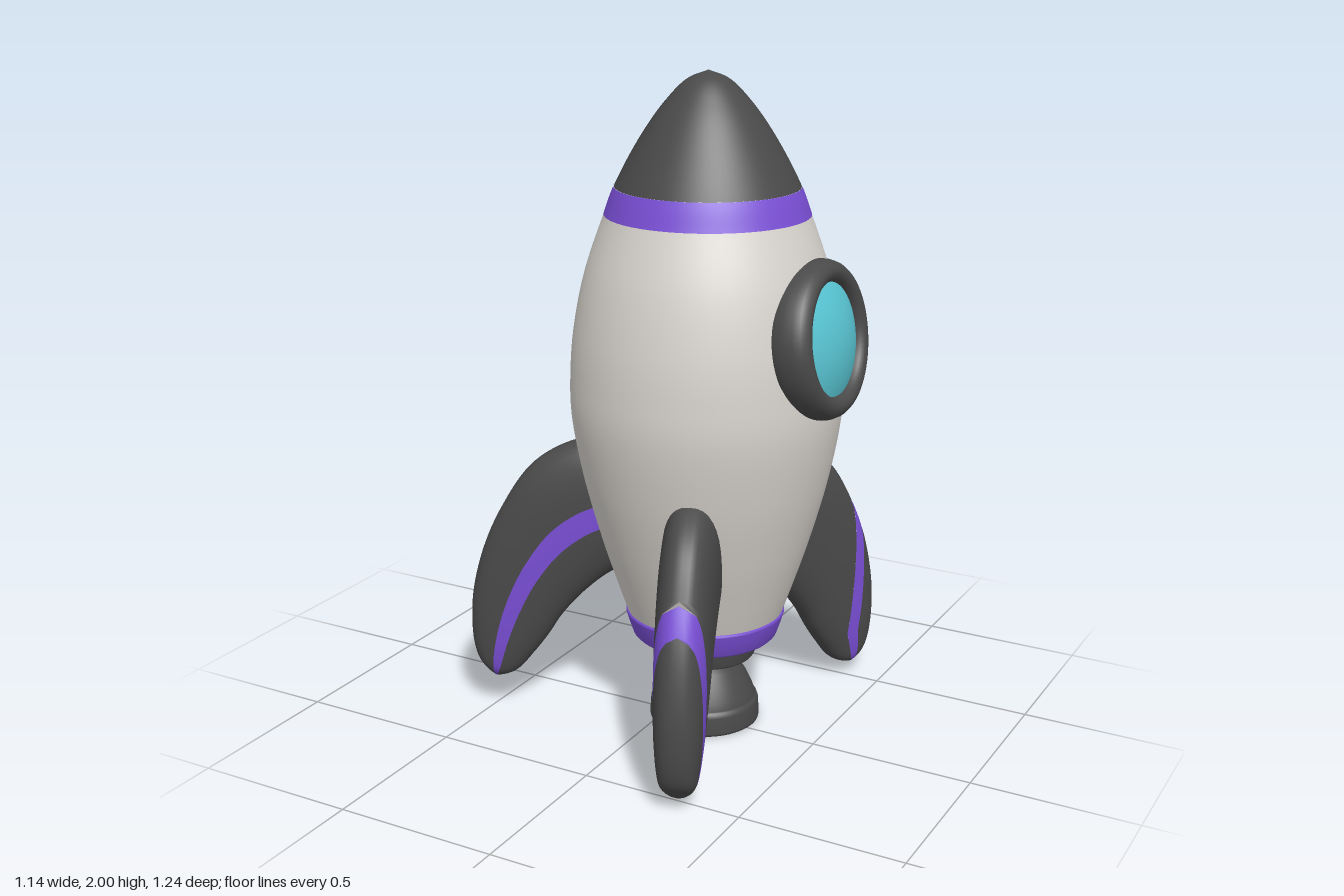
import * as THREE from 'three';

const mat = (name, color, side = THREE.FrontSide) => {
  const m = new THREE.MeshStandardMaterial({ color, side });
  m.name = name;
  return m;
};
const V2 = (p) => new THREE.Vector2(p[0], p[1]);
const curve = (pts) => new THREE.CatmullRomCurve3(pts.map(([x, y]) => new THREE.Vector3(x, y, 0)));

// Fin side outline as (distance from axis, height): outer and inner edges meet at the tip
const outerEdge = curve([[.24, .84], [.36, .825], [.49, .746], [.586, .6], [.65, .44], [.68, .254], [.66, .1], [.6, .03]]);
const innerEdge = curve([[.15, .45], [.23, .42], [.32, .344], [.39, .26], [.435, .185], [.48, .12], [.535, .055], [.6, .03]]);
const SQUARE = 0.8;
const spow = (v, p) => Math.sign(v) * Math.pow(Math.abs(v), p);

// Point on the fin: t runs root to tip, a runs round the section from the outer edge
function finPoint(t, a) {
  const o = outerEdge.getPoint(t), i = innerEdge.getPoint(t);
  const k = (1 + spow(Math.cos(a), SQUARE)) / 2;
  const thick = (0.09 - 0.022 * t) * Math.sqrt(Math.max(0, 1 - t ** 6));
  const p = i.lerp(o, k);
  p.z = thick * spow(Math.sin(a), SQUARE);
  return p;
}

// Strip of the fin surface between two angle rules
function finPatch(lo, hi, t0, steps) {
  const rows = 56, e = 0.01, pos = [], nor = [], idx = [];
  for (let r = 0; r <= rows; r++) {
    const t = t0 + (1 - t0) * (r / rows);
    for (let c = 0; c <= steps; c++) {
      const a = THREE.MathUtils.lerp(lo(t), hi(t), c / steps);
      pos.push(...finPoint(t, a).toArray());
      const tn = THREE.MathUtils.clamp(t, e, 0.985);
      const da = finPoint(tn, a + 0.04).sub(finPoint(tn, a - 0.04));
      const dt = finPoint(tn + e, a).sub(finPoint(tn - e, a));
      nor.push(...da.cross(dt).normalize().toArray());
      if (r < rows && c < steps) {
        const k = r * (steps + 1) + c, n = k + steps + 1;
        idx.push(k, k + 1, n, k + 1, n + 1, n);
      }
    }
  }
  const g = new THREE.BufferGeometry();
  g.setAttribute('position', new THREE.Float32BufferAttribute(pos, 3));
  g.setAttribute('normal', new THREE.Float32BufferAttribute(nor, 3));
  g.setIndex(idx);
  return g;
}

// Section angle at a fraction f of the way from outer to inner edge
const angleAt = (f) => Math.acos(spow(1 - 2 * f, 1 / SQUARE));
const ramp = (t, start, span, top) =>
  top * Math.pow(THREE.MathUtils.clamp((t - start) / span, 0, 1), 0.7);

export function createModel() {
  const dark = mat('charcoal', 0x4a4a4a);
  const purple = mat('purple', 0x7a4fd6);
  const white = mat('warm white', 0xd8d4ce);
  const cyan = mat('cyan glass', 0x5ac8d6);

  const model = new THREE.Group();
  const rocket = new THREE.Group();
  rocket.name = 'rocket';
  rocket.position.set(0.115, 0, -0.025);
  model.add(rocket);

  const add = (parent, name, geo, material) => {
    const m = new THREE.Mesh(geo, material);
    m.name = name;
    parent.add(m);
    return m;
  };
  const lathe = (pts, seg = 72) => new THREE.LatheGeometry(pts.map(V2), seg);

  // Hull: one smooth profile cut at the colour changes
  const hull = curve([[.236, .36], [.27, .46], [.315, .6], [.368, .8], [.402, 1.0], [.403, 1.12], [.392, 1.25],
    [.358, 1.42], [.3, 1.59], [.27, 1.67], [.195, 1.81], [.125, 1.91], [.06, 1.975], [0, 2]]);
  const samples = hull.getPoints(260).map((p) => [Math.max(0, p.x), p.y]);
  const slice = (y0, y1) => samples.filter(([, y]) => y >= y0 - 0.004 && y <= y1 + 0.004);
  add(rocket, 'hull', lathe(slice(0.3, 1.59)), white);
  add(rocket, 'upperBand', lathe(slice(1.59, 1.672).map(([r, y]) => [r + 0.001, y])), purple);
  add(rocket, 'noseCone', lathe(slice(1.672, 2)), dark);
  add(rocket, 'lowerBand', lathe([[0, .285], [.2, .285], [.214, .287], [.222, .295], [.234, .33],
    [.243, .36], [.243, .366], [.238, .37], [.2, .371]]), purple);

  // Engine
  add(rocket, 'enginePlate', lathe([[0, .215], [.14, .215], [.15, .218], [.155, .225], [.165, .27],
    [.165, .29], [.1, .3]]), dark);
  add(rocket, 'nozzle', lathe([[0, .13], [.06, .13], [.085, .1], [.115, .05], [.125, .02], [.128, .004], [.132, 0],
    [.162, 0], [.168, .004], [.17, .012], [.167, .06], [.163, .072], [.157, .074], [.157, .079], [.15, .1],
    [.132, .14], [.108, .178], [.094, .2], [.089, .225]]), dark);

  // Porthole on the +x side, tilted up with the hull
  const porthole = new THREE.Group();
  porthole.name = 'porthole';
  porthole.position.set(0.386, 1.262, 0);
  porthole.rotation.z = -THREE.MathUtils.degToRad(82);
  rocket.add(porthole);
  add(porthole, 'portholeFrame', lathe([[.16, -.08], [.215, -.08], [.227, -.06], [.232, -.03], [.23, 0],
    [.222, .022], [.21, .035], [.195, .041], [.18, .038], [.168, .028], [.162, .012], [.16, -.02]]), dark);
  const dome = [];
  for (let i = 0; i <= 12; i++) {
    const r = 0.166 * (1 - i / 12);
    dome.push([r, 0.015 + 0.038 * (1 - (r / 0.166) ** 2)]);
  }
  add(porthole, 'portholeGlass', lathe(dome, 56), cyan);

  // Fins: heading in degrees from +x toward +z, small offsets, and the stripe rule
  const arch = { start: 0.42, f1: (t) => ramp(t, 0.5, 0.25, 0.48), f2: (t) => ramp(t, 0.42, 0.3, 0.68) };
  const along = { start: 0, f1: () => 0.46, f2: () => 0.63 };
  const fins = [
    { name: 'rightFin', heading: 158.5, out: 0.06, up: 0.05, tilt: 0.03, stripe: along },
    { name: 'frontFin', heading: 69.5, out: 0, up: 0, tilt: 0, stripe: arch },
    { name: 'backFin', heading: -64, out: -0.02, up: 0, tilt: 0, stripe: arch },
  ];
  for (const { name, heading, out, up, tilt, stripe } of fins) {
    const arm = new THREE.Group();
    arm.name = name;
    arm.rotation.y = -THREE.MathUtils.degToRad(heading);
    const fin = new THREE.Group();
    fin.name = name + 'Blade';
    fin.position.set(out, up, 0);
    fin.rotation.z = tilt;
    arm.add(fin);
    rocket.add(arm);
    const a1 = (t) => angleAt(stripe.f1(t)), a2 = (t) => angleAt(stripe.f2(t));
    add(fin, name + 'Body', finPatch(a2, (t) => 2 * Math.PI - a2(t), 0, 32), dark);
    add(fin, name + 'Edge', finPatch((t) => -a1(t), a1, stripe.start, 20), dark);
    add(fin, name + 'StripeA', finPatch(a1, a2, stripe.start, 6), purple);
    add(fin, name + 'StripeB', finPatch((t) => -a2(t), (t) => -a1(t), stripe.start, 6), purple);
  }
  return model;
}
